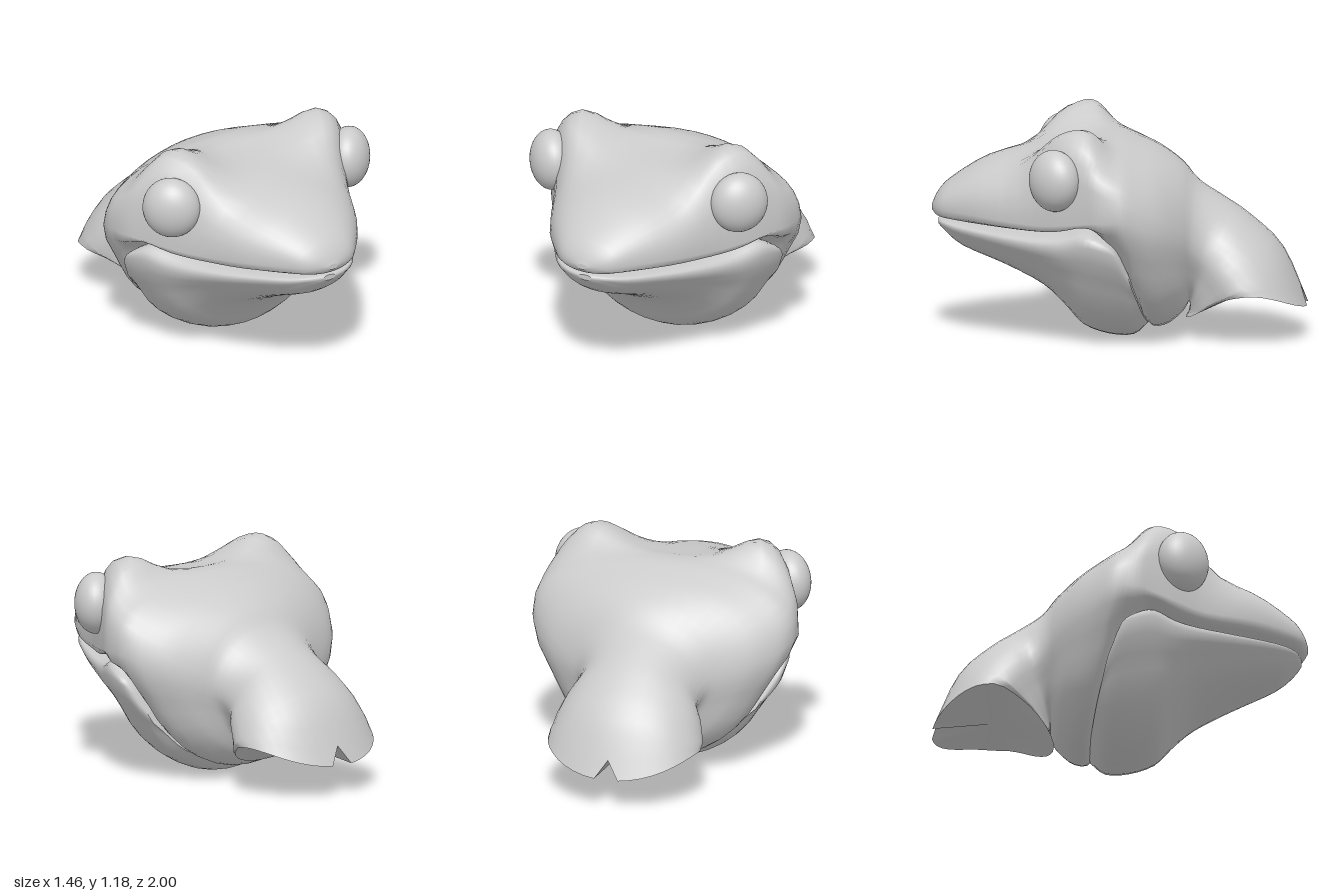
import * as THREE from 'three';

const material = new THREE.MeshStandardMaterial({ color: 0xcccccc, side: THREE.DoubleSide });
const SIDES = 40, STEPS = 3;

// Cross-sections: top z, top y, bottom z, bottom y, half width,
// height fraction of the widest point, top exponent, bottom exponent
const HEAD = [
  [1.0, .685, 1.0, .655, .03, .5, 1, 1],
  [.97, .75, .97, .628, .13, .4, .9, .6],
  [.9, .825, .9, .618, .215, .3, .8, .4],
  [.7, .945, .7, .607, .37, .2, .75, .35],
  [.45, 1.01, .45, .597, .495, .15, .6, .35],
  [.3, 1.035, .3, .61, .59, .15, .43, .35],
  [.17, 1.055, .17, .65, .67, .11, .42, .4],
  [.1, 1.07, .085, .58, .715, .26, .5, .5],
  [.04, 1.075, -.03, .38, .73, .48, .6, .8],
  [-.02, 1.07, -.145, .08, .725, .64, .7, 1],
  [-.1, 1.045, -.24, .05, .68, .62, .8, 1],
  [-.21, 1.0, -.325, .11, .58, .58, .9, 1],
  [-.33, .92, -.355, .15, .45, .54, 1, 1],
  [-.42, .82, -.365, .17, .36, .53, 1, 1],
  [-.56, .73, -.37, .17, .33, .5, 1, 1],
  [-.7, .63, -.37, .15, .375, .5, 1, 1],
  [-.87, .46, -.365, .12, .415, .5, 1, 1],
  [-1.0, .16, -.35, .09, .42, .5, 1, 1],
];

const JAW = [
  [.965, .61, .965, .58, .04, .5, 1, 1],
  [.93, .614, .93, .545, .14, .7, .5, 1],
  [.83, .61, .83, .465, .25, .8, .4, 1],
  [.6, .6, .6, .37, .4, .8, .4, 1],
  [.4, .602, .4, .265, .51, .8, .4, 1],
  [.28, .62, .28, .15, .575, .82, .4, 1],
  [.17, .655, .19, .05, .635, .85, .4, 1],
  [.08, .63, .05, 0, .66, .87, .5, 1],
  [0, .56, -.08, 0, .65, .9, .6, 1],
  [-.06, .42, -.16, .07, .56, .85, .8, 1],
];

// Smooth loft through the sections; pinch narrows the lower half,
// shape(p, t, s, k) adjusts each point
function loft(rows, pinch, recess, shape) {
  const last = rows.length - 1, rings = last * STEPS;
  const spline = new THREE.CubicInterpolant(rows.map((r, i) => i), rows.flat(), 8);
  const pos = [], index = [];
  for (let i = 0; i <= rings; i++) {
    const t = i / STEPS;
    const [zt, yt, zb, yb, w, f, eT, eB] = Array.from(spline.evaluate(t));
    for (let k = 0; k < SIDES; k++) {
      const a = (k / SIDES) * Math.PI * 2, c = Math.cos(a);
      const s = c >= 0 ? f + (1 - f) * Math.pow(c, eT) : f - f * Math.pow(-c, eB);
      const x = w * Math.sin(a) * (1 - pinch * THREE.MathUtils.smoothstep(-c, 0, .45));
      const p = new THREE.Vector3(x, yb + (yt - yb) * s, zb + (zt - zb) * s);
      if (shape) shape(p, t, s, k);
      pos.push(p.x, p.y, p.z);
    }
  }
  for (let i = 0; i < rings; i++) {
    for (let k = 0; k < SIDES; k++) {
      const n = (k + 1) % SIDES;
      const a = i * SIDES + k, b = i * SIDES + n, c = a + SIDES, d = b + SIDES;
      index.push(a, b, c, b, d, c);
    }
  }
  // End caps with their own vertices, so the rims stay sharp
  for (const [ring, back] of [[0, false], [rings, true]]) {
    const start = pos.length / 3, centre = new THREE.Vector3();
    for (let k = 0; k < SIDES; k++) {
      const p = new THREE.Vector3().fromArray(pos, (ring * SIDES + k) * 3);
      centre.addScaledVector(p, 1 / SIDES);
      pos.push(p.x, p.y, p.z);
    }
    pos.push(centre.x, centre.y + (back ? recess : 0), centre.z);
    for (let k = 0; k < SIDES; k++) {
      const a = start + k, b = start + (k + 1) % SIDES;
      index.push(start + SIDES, back ? a : b, back ? b : a);
    }
  }
  const g = new THREE.BufferGeometry();
  g.setAttribute('position', new THREE.Float32BufferAttribute(pos, 3));
  g.setIndex(index);
  g.computeVertexNormals();
  return g;
}

// Raised brows over the eyes, arched neck rim and a notch at its back
function shapeHead(p, t, s, k) {
  const dz = Math.abs(p.z - .24) / (p.z > .24 ? .25 : .17);
  const dx = (Math.abs(p.x) - .49) / .21;
  p.y += .175 * Math.exp(-dx * dx - dz ** 3) * THREE.MathUtils.smoothstep(p.y, .75, .95);
  const end = HEAD.length - 1;
  p.y += .14 * Math.sin(Math.PI * s) * Math.max(0, t - end + 1);
  if (t === end && k === 0) p.set(0, p.y + .1, p.z + .04);
}

function addMesh(parent, name, geometry) {
  const mesh = new THREE.Mesh(geometry, material);
  mesh.name = name;
  parent.add(mesh);
  return mesh;
}

export function createModel() {
  const model = new THREE.Group();
  model.name = 'frogHead';

  addMesh(model, 'headAndNeck', loft(HEAD, .1, .03, shapeHead));
  addMesh(model, 'lowerJaw', loft(JAW, .12, 0));

  // Bulging eyes, flattened and turned diagonally forward
  for (const side of [1, -1]) {
    const eye = addMesh(model, side > 0 ? 'leftEye' : 'rightEye', new THREE.SphereGeometry(1, 32, 20));
    eye.scale.set(.155, .165, .115);
    eye.position.set(side * .575, .915, .325);
    eye.rotation.y = side * Math.PI / 4;
  }
  return model;
}
